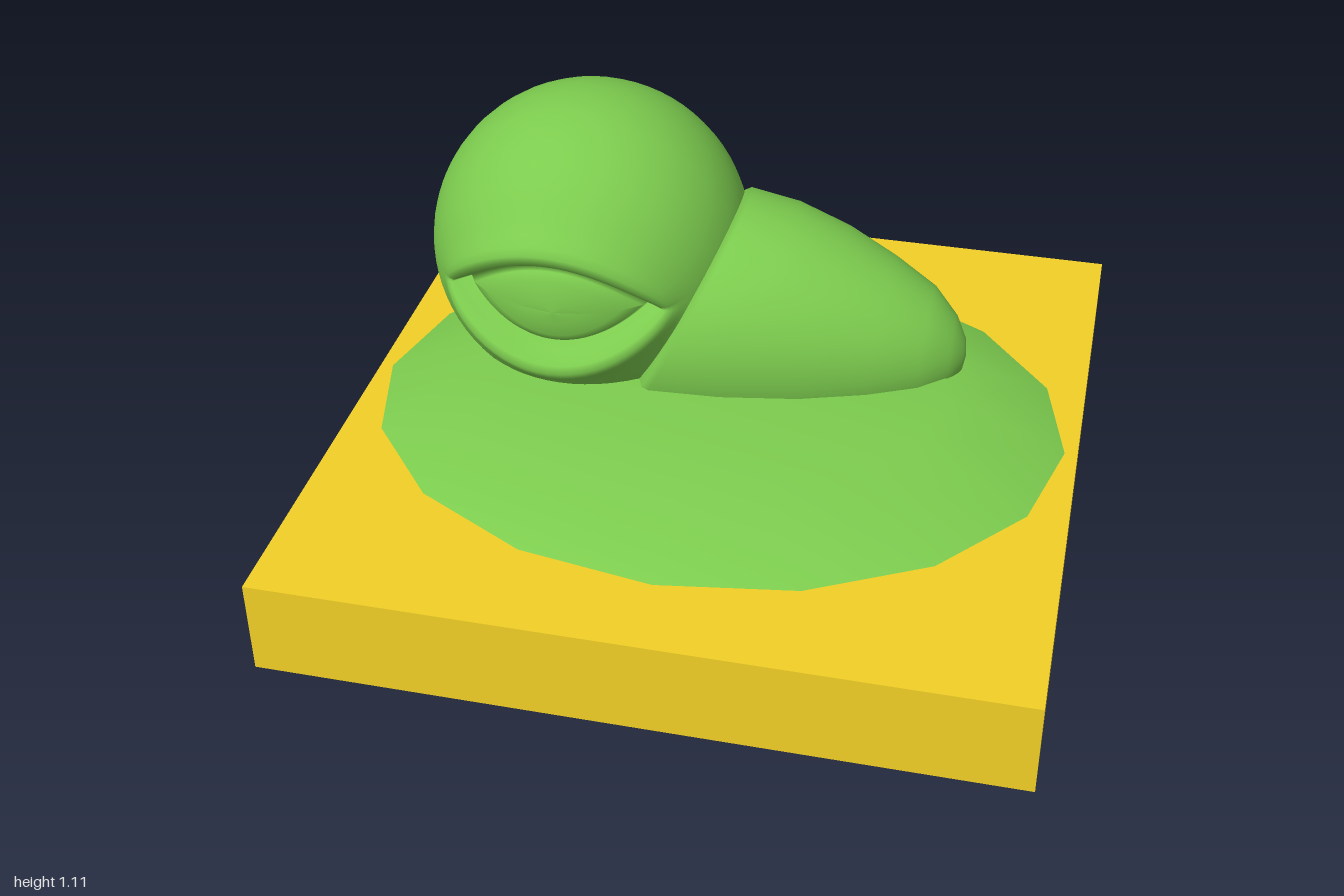
import * as THREE from 'three';

const YELLOW = new THREE.MeshStandardMaterial({ color: 0xf2cf26 });
const GREEN = new THREE.MeshStandardMaterial({ color: 0x7ccb4e });
const SEGMENTS = 64;

// Skins a list of closed loops of points into one smooth surface.
function loft(loops) {
  const n = loops[0].length;
  const index = [];
  for (let i = 0; i < loops.length - 1; i++) {
    for (let j = 0; j < n; j++) {
      const k = (j + 1) % n;
      const a = i * n + j, b = a + n, c = (i + 1) * n + k, d = i * n + k;
      index.push(a, b, c, a, c, d);
    }
  }
  const geometry = new THREE.BufferGeometry().setFromPoints(loops.flat());
  geometry.setIndex(index);
  geometry.computeVertexNormals();
  return geometry;
}

function ring(pointAt) {
  return Array.from({ length: SEGMENTS }, (_, j) => pointAt((j / SEGMENTS) * Math.PI * 2));
}

// Ball head: loops grow from an almond eye, over the lids, to the round outline and the back.
function headGeometry() {
  const R = 0.445;
  const almond = (a) => new THREE.Vector2(
    0.29 * Math.cos(a) - 0.01, 0.13 * Math.sin(a) * Math.abs(Math.sin(a)) + 0.01);
  const onBall = (p, offset) => {
    const z = Math.sqrt(Math.max(0, R * R - p.lengthSq()));
    return new THREE.Vector3(p.x, p.y, z).multiplyScalar(1 + offset / R);
  };
  const loops = [];

  // Sunken eye: [share of the almond, depth]
  for (const [k, depth] of [[0, -0.035], [0.35, -0.035], [0.7, -0.036], [0.9, -0.042], [1, -0.055]]) {
    loops.push(ring((a) => onBall(almond(a).multiplyScalar(k), depth)));
  }
  // Lids and front of the ball: [blend from almond to outline, lid height]
  const front = [[0.02, -0.01], [0.06, 0.016], [0.11, 0.025], [0.18, 0.022], [0.27, 0.01], [0.38, 0.002],
    [0.5, 0], [0.62, 0], [0.73, 0], [0.83, 0], [0.91, 0], [0.965, 0], [0.99, 0], [1, 0]];
  for (const [t, lid] of front) {
    loops.push(ring((a) => {
      const s = Math.sin(a);
      const weight = 0.2 + Math.abs(s) * (s < 0 ? 1.4 : 0.8);
      const outline = new THREE.Vector2(R * Math.cos(a), R * s);
      return onBall(almond(a).lerp(outline, t), lid * weight);
    }));
  }
  // Plain back half
  for (let i = 1; i <= 14; i++) {
    const phi = (i / 14) * Math.PI / 2;
    const r = R * Math.cos(phi);
    loops.push(ring((a) => new THREE.Vector3(r * Math.cos(a), r * Math.sin(a), -R * Math.sin(phi))));
  }
  return loft(loops);
}

// Round beak from tip to base: [x, centre height, radius, backward lean of the section]
function beakGeometry() {
  const sections = [
    [0.662, 0.415, 0.001, 0], [0.655, 0.42, 0.045, 0], [0.625, 0.425, 0.1, 0],
    [0.55, 0.432, 0.168, 0.05], [0.42, 0.44, 0.232, 0.1], [0.25, 0.452, 0.292, 0.2],
    [0.05, 0.466, 0.332, 0.36], [-0.13, 0.478, 0.345, 0.48], [-0.15, 0.478, 0.335, 0.5],
    [-0.18, 0.48, 0.26, 0.5], [-0.2, 0.48, 0.001, 0.5],
  ];
  return loft(sections.map(([x, y, r, lean]) => ring((a) =>
    new THREE.Vector3(x + lean * r * Math.cos(a), y + r * Math.cos(a), r * Math.sin(a)))));
}

export function createModel() {
  const model = new THREE.Group();
  const add = (name, geometry, material, x, y, z) => {
    const mesh = new THREE.Mesh(geometry, material);
    mesh.name = name;
    mesh.position.set(x, y, z);
    model.add(mesh);
    return mesh;
  };

  // Square plinth
  add('base', new THREE.BoxGeometry(2, 0.27, 2), YELLOW, 0, 0.135, 0);

  // Low sixteen-sided oval mound
  const profile = [[1, 0.27], [0.665, 0.4], [0, 0.4]].map(([r, y]) => new THREE.Vector2(r, y));
  add('mound', new THREE.LatheGeometry(profile, 16), GREEN, 0, 0, 0).scale.set(0.965, 1, 0.77);

  add('head', headGeometry(), GREEN, -0.41, 0.66, -0.21);
  add('beak', beakGeometry(), GREEN, 0, 0, -0.2);
  return model;
}
